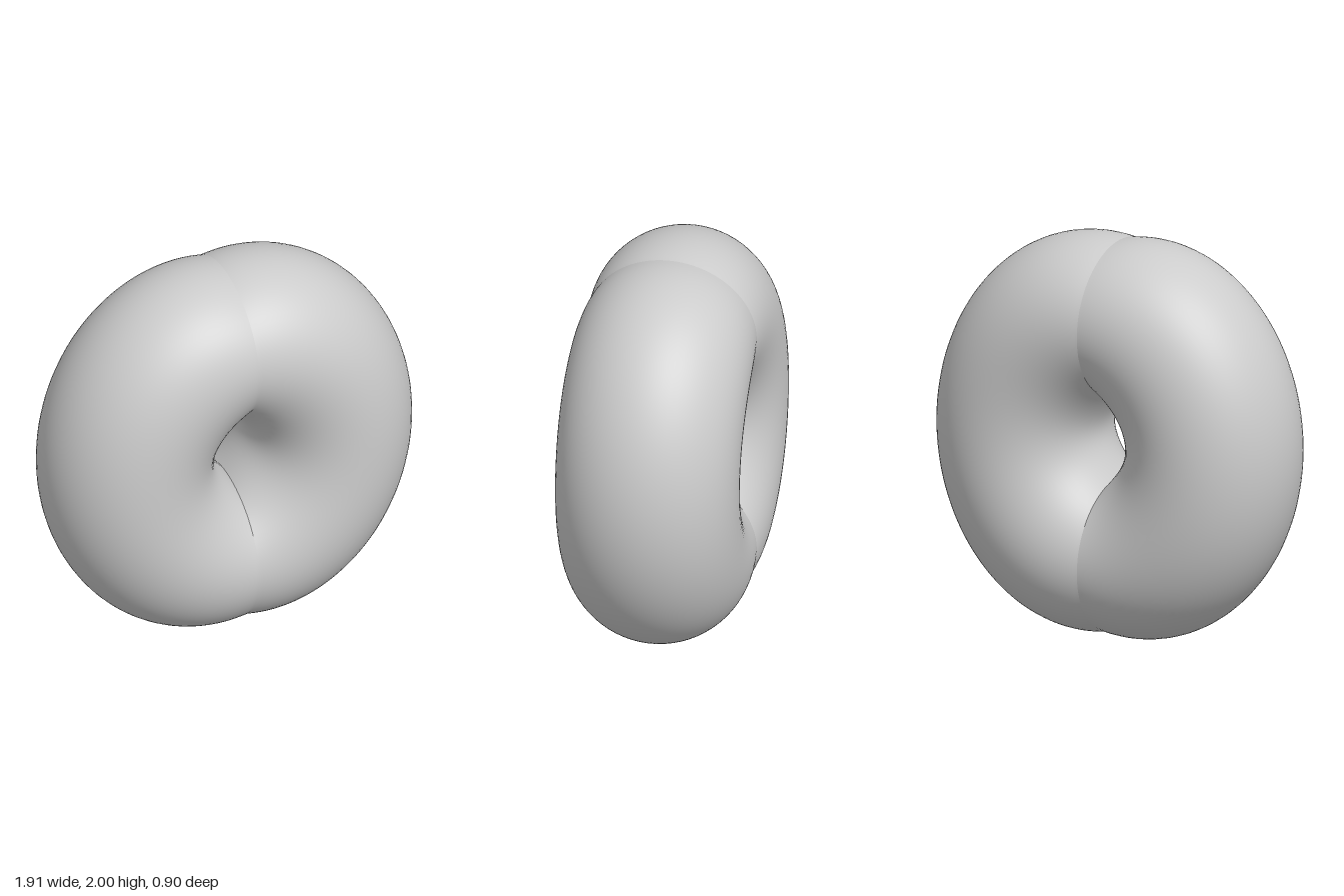
import * as THREE from 'three';

const STEPS = 96, SIDES = 72;

// Ring-like body made of two bent tubes meeting in a crease on x = 0
function halfGeometry() {
  const pos = [], index = [];
  const endAngle = Math.acos(-0.13 / 0.825);
  for (let i = 0; i <= STEPS; i++) {
    const s = 1 - (2 * i) / STEPS; // 1 at the top seam, -1 at the bottom seam
    const a = Math.abs(s), angle = s * endAngle;
    // outer rim: part of an ellipse
    const ox = 0.13 + 0.825 * Math.cos(angle), oy = 1 + Math.sin(angle);
    // inner rim: pointed edge of the hole
    const ix = 0.1 * (0.8 * (1 - a * a) + 0.1 * (1 + Math.cos(Math.PI * s)));
    const iy = 1 + 0.21 * s;
    // depth narrows slightly towards the seam
    const depth = 0.45 - 0.027 * a ** 4;
    for (let j = 0; j < SIDES; j++) {
      const v = (j / SIDES) * Math.PI * 2, c = Math.cos(v) / 2;
      pos.push(
        (ox + ix) / 2 + (ox - ix) * c,
        (oy + iy) / 2 + (oy - iy) * c,
        depth * Math.sin(v)
      );
      if (i < STEPS) {
        const k = (j + 1) % SIDES;
        const p = i * SIDES + j, q = i * SIDES + k;
        index.push(p, p + SIDES, q, q, p + SIDES, q + SIDES);
      }
    }
  }
  const geometry = new THREE.BufferGeometry();
  geometry.setAttribute('position', new THREE.Float32BufferAttribute(pos, 3));
  geometry.setIndex(index);
  geometry.computeVertexNormals();
  return geometry;
}

export function createModel() {
  const group = new THREE.Group();
  group.name = 'creasedRing';
  const material = new THREE.MeshStandardMaterial({ color: 0xcccccc, side: THREE.DoubleSide });
  const geometry = halfGeometry();
  // the half is symmetric front to back, so a half turn mirrors it
  ['leftHalf', 'rightHalf'].forEach((name, i) => {
    const half = new THREE.Mesh(geometry, material);
    half.name = name;
    half.rotation.y = i * Math.PI;
    group.add(half);
  });
  return group;
}
